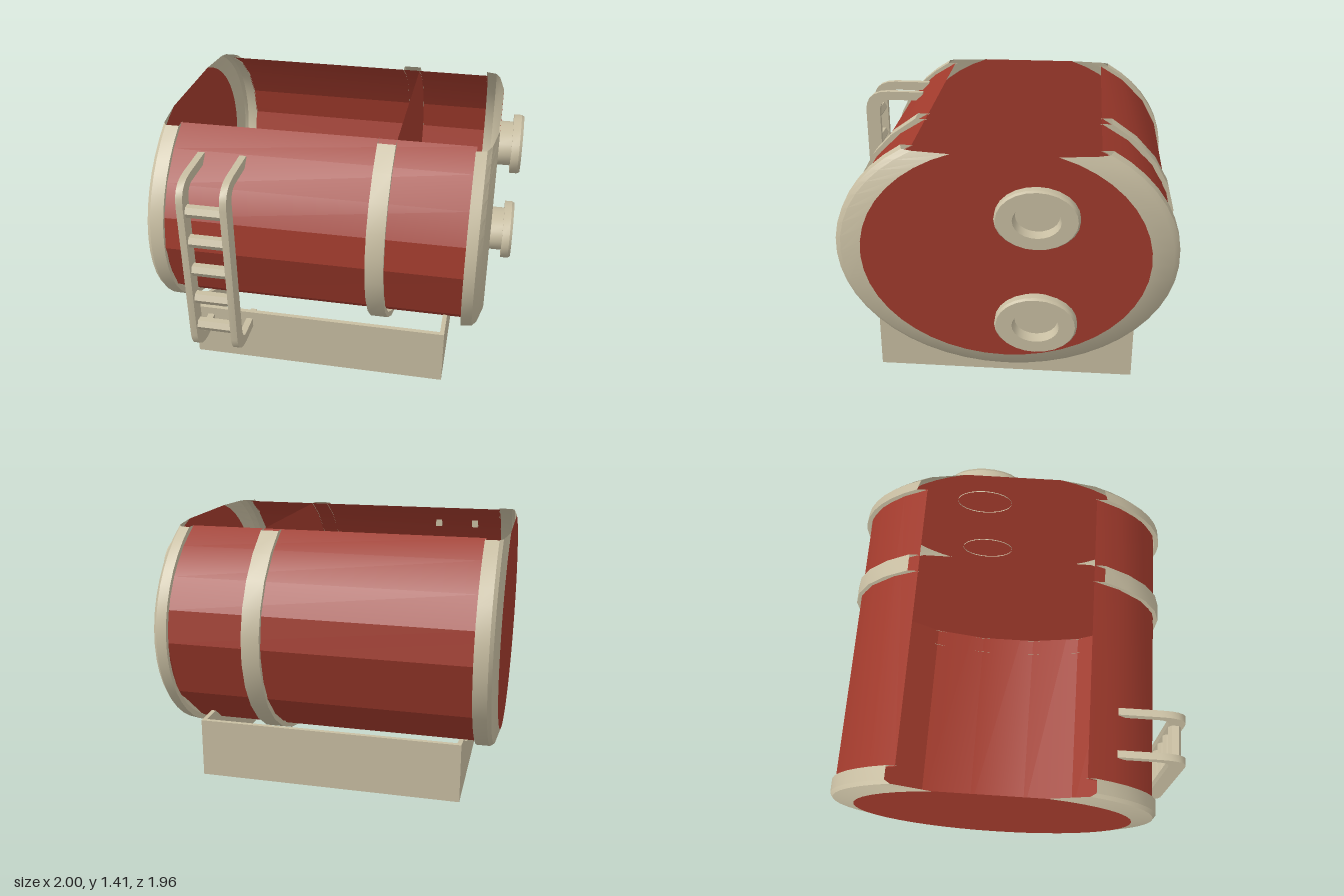
import * as THREE from 'three';
import { toCreasedNormals } from 'three/addons/utils/BufferGeometryUtils.js';

const CY = 0.85, CZ = -0.055, TOP = 1.42; // tank axis and the height of the open rim

// Oval section, cut level at the open top; runs front rim -> bottom -> back rim
function section(a, b, inner) {
  const t0 = THREE.MathUtils.radToDeg(Math.asin((TOP - CY) / b));
  const angles = typeof inner === 'number'
    ? Array.from({ length: inner + 1 }, (_, i) => t0 - (180 + 2 * t0) * i / inner)
    : [t0, ...inner, -180 - t0];
  return angles.map((d) => {
    const t = THREE.MathUtils.degToRad(d);
    return [CY + b * Math.sin(t), CZ + a * Math.cos(t)];
  });
}

// Surface through sections given as [x, half depth, half height]
function loft(rows, inner, crease) {
  const pos = [], idx = [];
  let n = 0;
  rows.forEach(([x, a, b]) => {
    const pts = section(a, b, inner);
    n = pts.length;
    pts.forEach(([y, z]) => pos.push(x, y, z));
  });
  for (let r = 0; r < rows.length - 1; r++) {
    for (let i = 0; i < n - 1; i++) {
      const p = r * n + i, q = p + n;
      idx.push(p, p + 1, q, p + 1, q + 1, q);
    }
  }
  const g = new THREE.BufferGeometry();
  g.setAttribute('position', new THREE.Float32BufferAttribute(pos, 3));
  g.setIndex(idx);
  return toCreasedNormals(g, crease);
}

// Flat plate filling a section; faces +x
function plate(x, a, b, n) {
  const shape = new THREE.Shape(section(a, b, n).map(([y, z]) => new THREE.Vector2(-z, y)));
  return new THREE.ShapeGeometry(shape).rotateY(Math.PI / 2).translate(x, 0, 0);
}

export function createModel() {
  const red = new THREE.MeshStandardMaterial({ color: 0xa03a2c, side: THREE.DoubleSide });
  red.name = 'red paint';
  const beige = new THREE.MeshStandardMaterial({ color: 0xc8bea2, side: THREE.DoubleSide });
  beige.name = 'beige metal';
  const model = new THREE.Group();
  model.name = 'openTank';
  const add = (name, geometry, material, parent = model) => {
    const m = new THREE.Mesh(geometry, material);
    m.name = name;
    parent.add(m);
    return m;
  };

  // Faceted shell, with finer steps above the middle
  const facets = [45, 30, 15, 0, -27, -58, -79, -101, -122, -153, -180, -195, -210, -225];
  add('shell', loft([[-0.885, 0.91, 0.68], [0.755, 0.9, 0.68]], facets, 0.32), red);

  // End rims and the strap
  add('leftRim', loft([[-1, 0.79, 0.615], [-0.975, 0.91, 0.69], [-0.955, 0.925, 0.705],
    [-0.88, 0.925, 0.705], [-0.88, 0.9, 0.675]], 40, 0.5), beige);
  add('rightRim', loft([[0.75, 0.9, 0.675], [0.75, 0.925, 0.71], [0.81, 0.92, 0.7],
    [0.835, 0.89, 0.675], [0.865, 0.775, 0.61]], 40, 0.5), beige);
  add('strap', loft([[0.23, 0.9, 0.675], [0.23, 0.925, 0.71], [0.33, 0.925, 0.71],
    [0.33, 0.9, 0.675]], 24, 0.5), beige);

  // End plates and the inner divider
  add('leftEnd', plate(-1, 0.79, 0.615, 40).scale(1, 1, 1), red);
  add('rightEnd', plate(0.865, 0.775, 0.61, 40), red);
  add('divider', plate(0.33, 0.895, 0.67, facets), red);

  // Flanged nozzles with blind bores
  const profile = [[0.165, 0], [0.165, 0.08], [0.22, 0.08], [0.22, 0.125], [0.21, 0.14],
    [0.125, 0.14], [0.115, 0.07], [0, 0.07]].map(([r, h]) => new THREE.Vector2(r, h));
  const nozzle = toCreasedNormals(new THREE.LatheGeometry(profile, 24), 0.5)
    .scale(0.75, 1, 1).rotateZ(-Math.PI / 2);
  [['upperNozzle', 1.125], ['lowerNozzle', 0.515]].forEach(([name, y]) => {
    add(name, nozzle, beige).position.set(0.86, y, -0.23);
  });

  // Ladder: two hooked rails and five rungs
  const ladder = new THREE.Group();
  ladder.name = 'ladder';
  model.add(ladder);
  const rail = new THREE.Shape();
  rail.moveTo(-0.6, 1.33);
  rail.lineTo(-0.83, 1.33);
  rail.quadraticCurveTo(-0.98, 1.33, -0.98, 1.2);
  rail.lineTo(-0.98, 0.36);
  rail.quadraticCurveTo(-0.97, 0.25, -0.83, 0.24);
  rail.lineTo(-0.6, 0.24);
  rail.lineTo(-0.6, 0.295);
  rail.lineTo(-0.83, 0.295);
  rail.quadraticCurveTo(-0.89, 0.3, -0.89, 0.38);
  rail.lineTo(-0.89, 1.19);
  rail.quadraticCurveTo(-0.89, 1.27, -0.82, 1.275);
  rail.lineTo(-0.6, 1.275);
  const railGeo = toCreasedNormals(new THREE.ExtrudeGeometry(rail,
    { depth: 0.038, bevelEnabled: false, curveSegments: 5 }), 0.6).rotateY(Math.PI / 2);
  for (const x of [-0.738, -0.504]) add('ladderRail', railGeo, beige, ladder).position.x = x;
  const rung = new THREE.CylinderGeometry(0.036, 0.036, 0.22, 6).toNonIndexed();
  rung.computeVertexNormals();
  rung.rotateZ(Math.PI / 2);
  for (let i = 0; i < 5; i++) {
    add('ladderRung', rung, beige, ladder).position.set(-0.602, 0.415 + i * 0.185, 0.93);
  }

  // Base frame: open walls, the left one hollowed to cradle the tank
  const base = new THREE.Group();
  base.name = 'baseFrame';
  model.add(base);
  const wall = (name, w, d, x, z) =>
    add(name, new THREE.BoxGeometry(w, 0.335, d), beige, base).position.set(x, 0.1725, z);
  wall('frontWall', 1.48, 0.025, -0.08, 0.68);
  wall('backWall', 1.48, 0.025, -0.08, -0.76);
  wall('rightWall', 0.025, 1.46, 0.65, -0.04);
  const cradle = new THREE.Shape();
  cradle.moveTo(-0.69, 0.34);
  cradle.lineTo(-0.69, 0.005);
  cradle.lineTo(0.77, 0.005);
  cradle.lineTo(0.77, 0.34);
  for (let i = 0; i <= 12; i++) {
    const t = 0.7 - 1.4 * i / 12;
    cradle.lineTo(-CZ + 0.92 * Math.sin(t), Math.min(0.34, CY - 0.69 * Math.cos(t)));
  }
  add('leftWall', new THREE.ExtrudeGeometry(cradle, { depth: 0.025, bevelEnabled: false })
    .rotateY(Math.PI / 2), beige, base).position.x = -0.82;

  return model;
}
